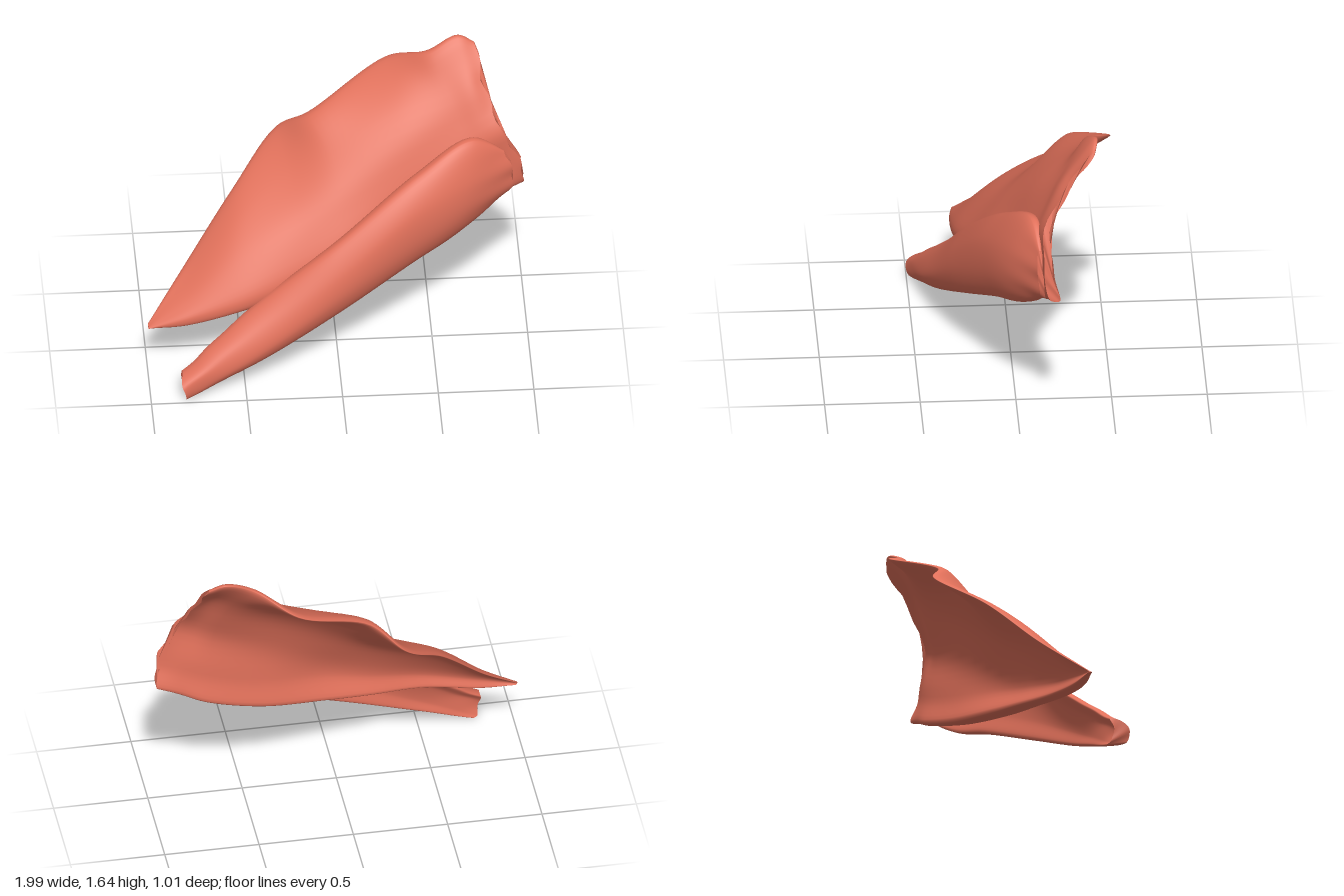
import * as THREE from 'three';

const V = (p) => new THREE.Vector3(...p);

// Closed cross-section: a front curve (bottom to top) and the same curve pushed back by a thickness profile
function ringOf({ t, front }, profile) {
  const f = front.map(V);
  const b = f.map((p, i) => p.clone().add(new THREE.Vector3(0, -0.1, -1).multiplyScalar(t * profile[i])));
  return new THREE.CatmullRomCurve3([...f, ...b.reverse()], true, 'centripetal');
}

// Smooth skin through a row of cross-sections, with both ends capped
function loft(stations, profile, ripple, nu = 80, nv = 64) {
  const rings = stations.map((s) => ringOf(s, profile));
  const rails = [];
  for (let j = 0; j < nv; j++) {
    rails.push(new THREE.CatmullRomCurve3(rings.map((r) => r.getPoint(j / nv)), false, 'centripetal'));
  }
  const pos = [], idx = [];
  for (let i = 0; i <= nu; i++) {
    for (let j = 0; j < nv; j++) {
      const p = rails[j].getPoint(i / nu);
      ripple(p, i / nu);
      pos.push(p.x, p.y, p.z);
    }
  }
  for (let i = 0; i < nu; i++) {
    for (let j = 0; j < nv; j++) {
      const k = (j + 1) % nv;
      const a = i * nv + j, b = a + nv, c = (i + 1) * nv + k, d = i * nv + k;
      idx.push(a, b, c, a, c, d);
    }
  }
  // End caps pair opposite points of the ring, so a curved section closes cleanly
  for (const [row, flip] of [[0, false], [nu, true]]) {
    const base = pos.length / 3;
    for (let j = 0; j < nv; j++) pos.push(...pos.slice((row * nv + j) * 3, (row * nv + j) * 3 + 3));
    for (let j = 0; j < nv / 2 - 1; j++) {
      const a = base + j, b = a + 1, c = base + nv - 2 - j, d = c + 1;
      idx.push(...(flip ? [a, c, b, a, d, c] : [a, b, c, a, c, d]));
    }
  }
  const g = new THREE.BufferGeometry();
  g.setAttribute('position', new THREE.Float32BufferAttribute(pos, 3));
  g.setIndex(idx);
  g.computeVertexNormals();
  return g;
}

export function createModel() {
  const group = new THREE.Group();
  const material = new THREE.MeshStandardMaterial({ color: 0xe0705a, side: THREE.DoubleSide });
  const add = (name, geometry) => {
    const mesh = new THREE.Mesh(geometry, material);
    mesh.name = name;
    group.add(mesh);
  };

  // Broad fan-shaped sheet: narrow tip at -x, thick lower border, thin top edge leaning backwards
  const sheet = [
    { t: 0.02, front: [[-0.99, 0.3, 0.25], [-1, 0.302, 0.255], [-1, 0.306, 0.25], [-1, 0.31, 0.24], [-1, 0.315, 0.23]] },
    { t: 0.06, front: [[-0.8, 0.325, 0.27], [-0.8, 0.37, 0.275], [-0.8, 0.43, 0.22], [-0.8, 0.5, 0.12], [-0.79, 0.55, 0.04]] },
    { t: 0.09, front: [[-0.5, 0.4, 0.26], [-0.5, 0.47, 0.27], [-0.52, 0.63, 0.16], [-0.53, 0.77, 0], [-0.53, 0.86, -0.17]] },
    { t: 0.12, front: [[-0.2, 0.47, 0.19], [-0.2, 0.57, 0.21], [-0.21, 0.8, 0.09], [-0.24, 0.98, -0.13], [-0.29, 1.09, -0.38]] },
    { t: 0.14, front: [[0.05, 0.53, 0.13], [0.05, 0.66, 0.16], [0.03, 0.91, 0.05], [-0.02, 1.12, -0.13], [-0.12, 1.23, -0.31]] },
    { t: 0.13, front: [[0.4, 0.62, 0], [0.38, 0.76, 0.03], [0.36, 1.03, -0.02], [0.33, 1.31, -0.2], [0.29, 1.45, -0.47]] },
    { t: 0.1, front: [[0.72, 0.74, -0.1], [0.7, 0.88, -0.08], [0.68, 1.13, -0.09], [0.6, 1.4, -0.23], [0.5, 1.56, -0.37]] },
    { t: 0.07, front: [[0.87, 0.81, -0.13], [0.85, 0.95, -0.12], [0.79, 1.18, -0.11], [0.71, 1.45, -0.25], [0.66, 1.635, -0.4]] },
    { t: 0.05, front: [[0.98, 0.86, -0.15], [0.98, 0.98, -0.13], [0.87, 1.22, -0.13], [0.78, 1.45, -0.27], [0.755, 1.6, -0.38]] },
  ];
  add('fanSheet', loft(sheet, [1, 0.9, 0.65, 0.45, 0.3], (p, u) => {
    // Ragged attachment edge and a slight waviness along the fibres
    p.x += 0.01 * Math.sin(p.y * 38) * Math.pow(u, 12);
    p.z += 0.005 * Math.sin(p.y * 21 - p.x * 13) * u;
  }));

  // Long tapering belly lying against the front of the sheet
  const belly = [
    { t: 0.09, front: [[-0.79, 0, 0.45], [-0.82, 0.01, 0.49], [-0.83, 0.08, 0.5], [-0.83, 0.13, 0.43]] },
    { t: 0.1, front: [[-0.4, 0.17, 0.38], [-0.41, 0.24, 0.42], [-0.43, 0.36, 0.38], [-0.45, 0.43, 0.29]] },
    { t: 0.12, front: [[0, 0.37, 0.27], [0, 0.48, 0.32], [0, 0.63, 0.3], [0, 0.77, 0.21]] },
    { t: 0.13, front: [[0.4, 0.57, 0.12], [0.4, 0.69, 0.18], [0.4, 0.9, 0.17], [0.42, 1.07, 0.06]] },
    { t: 0.11, front: [[0.62, 0.66, 0.02], [0.66, 0.8, 0.07], [0.69, 1, 0.05], [0.71, 1.2, -0.06]] },
    { t: 0.03, front: [[0.9, 0.83, -0.11], [0.93, 0.9, -0.1], [0.92, 1, -0.09], [0.89, 1.1, -0.1]] },
  ];
  add('longBelly', loft(belly, [0.7, 1, 0.9, 0.4], (p, u) => {
    // Uneven cut ends
    p.x += 0.008 * Math.sin(p.y * 45) * (Math.pow(u, 12) + Math.pow(1 - u, 12));
  }));

  return group;
}
